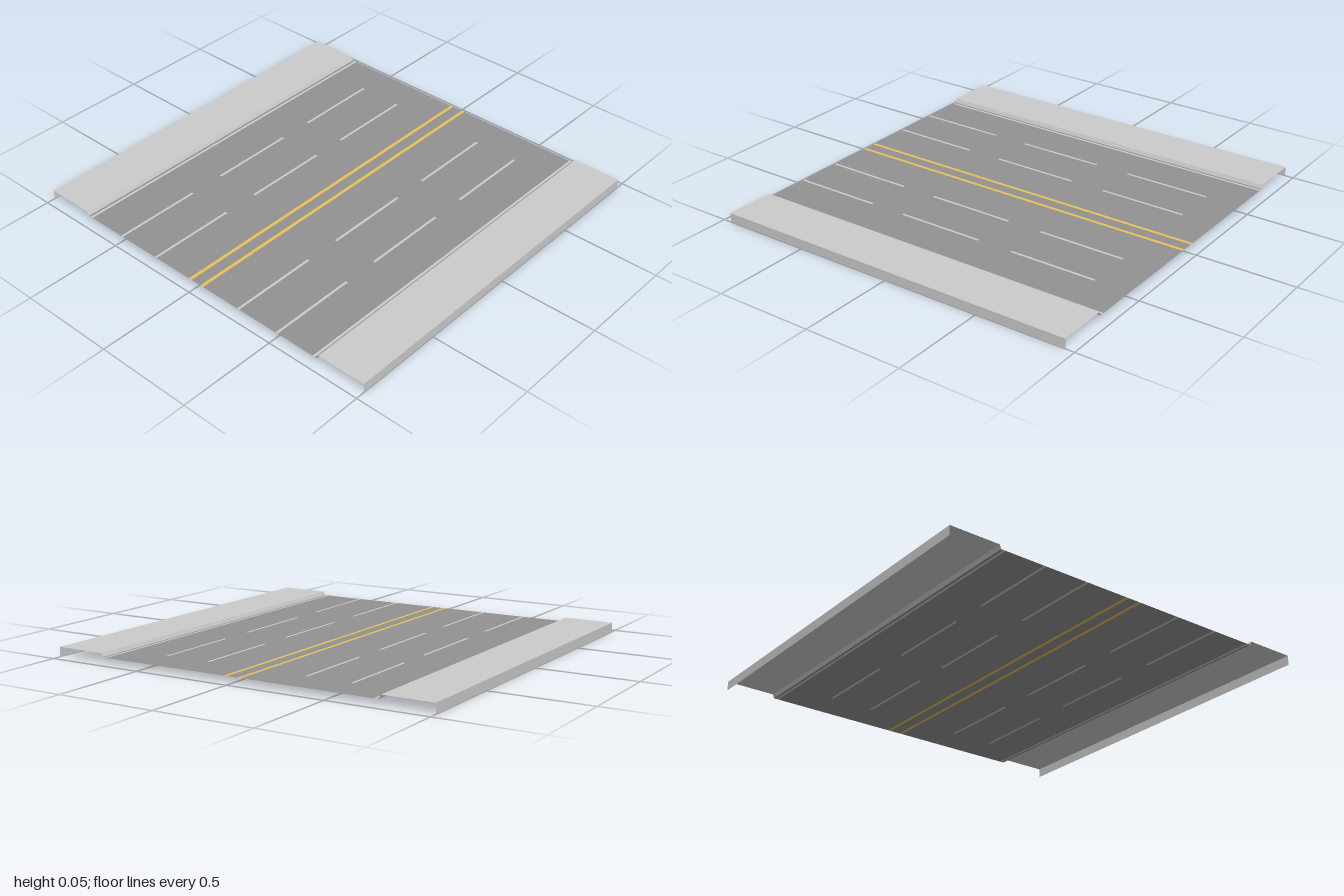
import * as THREE from 'three';
import { mergeGeometries } from 'three/addons/utils/BufferGeometryUtils.js';

const HALF = 0.955;   // half length of the road section
const ROAD_Y = 0.028;
const TOP_Y = 0.048;
const CURB_TOP = 0.746, CURB_FOOT = 0.738;

const material = (color) => new THREE.MeshStandardMaterial({ color, side: THREE.DoubleSide });

// Flat rectangle at road level
function patch(x0, x1, z0, z1) {
  return new THREE.PlaneGeometry(x1 - x0, z1 - z0)
    .rotateX(-Math.PI / 2)
    .translate((x0 + x1) / 2, ROAD_Y, (z0 + z1) / 2);
}

// Open sheet along z between two points of the cross-section
function strip([xa, ya], [xb, yb]) {
  const g = new THREE.PlaneGeometry(Math.hypot(xb - xa, yb - ya), 2 * HALF);
  return g.rotateX(-Math.PI / 2)
    .rotateZ(Math.atan2(yb - ya, xb - xa))
    .translate((xa + xb) / 2, (ya + yb) / 2, 0);
}

export function createModel() {
  const group = new THREE.Group();
  const add = (name, geometries, mat) => {
    const mesh = new THREE.Mesh(mergeGeometries(geometries), mat);
    mesh.name = name;
    group.add(mesh);
  };

  // Pavements: outer wall, walking surface and curb face
  const pavement = material(0xcccccc);
  for (const [s, side] of [[1, 'left'], [-1, 'right']]) {
    const profile = [[-1, 0], [-1, TOP_Y], [-CURB_TOP, TOP_Y], [-CURB_FOOT, ROAD_Y]];
    const sheets = profile.slice(1).map((p, i) => strip(profile[i], p));
    if (s > 0) sheets.forEach((g) => g.rotateY(Math.PI));
    add(side + 'Pavement', sheets, pavement);
  }

  // Markings are inlaid: asphalt fills everything between them
  const asphalt = [], edgeLines = [], laneDashes = [], centreLines = [];
  const whole = [[-HALF, HALF]];
  const dashes = [[-0.775, -0.325], [-0.14, 0.31], [0.498, HALF]];
  const columns = [
    [-0.72, 0.013, whole, edgeLines],
    [-0.502, 0.013, dashes, laneDashes],
    [-0.268, 0.013, dashes, laneDashes],
    [-0.037, 0.018, whole, centreLines],
    [0.037, 0.018, whole, centreLines],
    [0.268, 0.013, dashes, laneDashes],
    [0.502, 0.013, dashes, laneDashes],
    [0.72, 0.013, whole, edgeLines],
  ];
  let x = -CURB_FOOT;
  for (const [centre, width, spans, target] of columns) {
    const x0 = centre - width / 2, x1 = centre + width / 2;
    asphalt.push(patch(x, x0, -HALF, HALF));
    let z = -HALF;
    for (const [z0, z1] of spans) {
      if (z0 > z) asphalt.push(patch(x0, x1, z, z0));
      target.push(patch(x0, x1, z0, z1));
      z = z1;
    }
    x = x1;
  }
  asphalt.push(patch(x, CURB_FOOT, -HALF, HALF));

  const white = material(0xcccccc);
  add('roadSurface', asphalt, material(0x929292));
  add('edgeLines', edgeLines, white);
  add('laneDashes', laneDashes, white);
  add('centreLines', centreLines, material(0xe8c056));
  return group;
}
